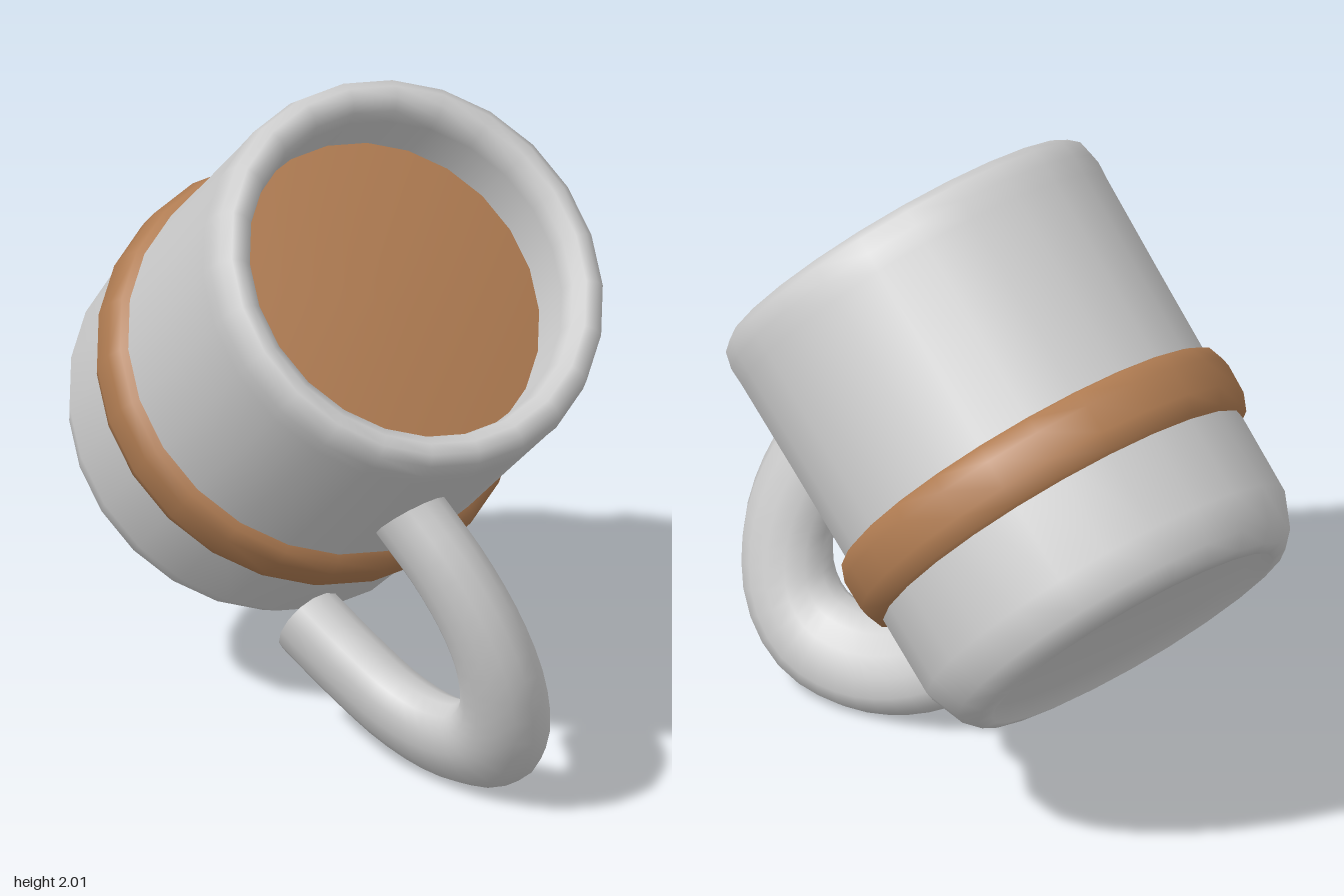
import * as THREE from 'three';
import { mergeGeometries } from 'three/addons/utils/BufferGeometryUtils.js';

const SIDES = 24;

function material(name, color) {
  const m = new THREE.MeshStandardMaterial({ color });
  m.name = name;
  return m;
}

// Turned part from [radius, height] pairs, outer surface listed upwards
function turned(name, profile, mat) {
  const points = profile.map(([r, h]) => new THREE.Vector2(r, h));
  const mesh = new THREE.Mesh(new THREE.LatheGeometry(points, SIDES), mat);
  mesh.name = name;
  return mesh;
}

// Oval tube with closed ends, bent in a flat plane and then leaned over
function handleGeometry() {
  const radius = 0.141, sides = 14;
  const curve = new THREE.CatmullRomCurve3([
    [0.578, 0.934], [0.705, 0.78], [0.792, 0.61], [0.822, 0.45], [0.786, 0.285],
    [0.684, 0.18], [0.512, 0.143], [0.33, 0.177], [0.15, 0.273], [0, 0.373],
  ].map(([x, y]) => new THREE.Vector3(x, y, 0)));
  const parts = [new THREE.TubeGeometry(curve, 28, radius, sides, false)];
  for (const end of [0, 1]) {
    const out = curve.getTangent(end).multiplyScalar(end ? 1 : -1);
    const cap = new THREE.CircleGeometry(radius, sides);
    cap.applyQuaternion(new THREE.Quaternion().setFromUnitVectors(new THREE.Vector3(0, 0, 1), out));
    const p = curve.getPoint(end);
    cap.translate(p.x, p.y, p.z);
    parts.push(cap);
  }
  const geometry = mergeGeometries(parts);
  geometry.applyMatrix4(new THREE.Matrix4().set(
    1, 0, 0, 0,
    0, 1, 0, 0,
    0, 0.275, 0.83, 0.073,
    0, 0, 0, 1));
  return geometry;
}

export function createModel() {
  const ceramic = material('pale ceramic', 0xcdcdcd);
  const brown = material('warm brown', 0xb07c52);
  const model = new THREE.Group();
  model.name = 'mug';

  // Upright cup, tilted as a whole
  const cup = new THREE.Group();
  cup.name = 'tiltedCup';
  cup.add(
    // Wall with bevelled foot, shallow recess below and rounded lip
    turned('cupBody', [
      [0, 0.03], [0.45, 0.03], [0.475, -0.018], [0.52, -0.01], [0.562, 0.035], [0.604, 0.14],
      [0.607, 0.5], [0.611, 0.9], [0.616, 1.2], [0.619, 1.26], [0.608, 1.312], [0.58, 1.338],
      [0.545, 1.338], [0.512, 1.312], [0.498, 1.26], [0.495, 0.8], [0.48, 0.15], [0, 0.13],
    ], ceramic),
    // Raised ring around the wall
    turned('band', [
      [0.59, 0.385], [0.625, 0.402], [0.646, 0.455], [0.648, 0.545], [0.63, 0.595], [0.59, 0.612],
    ], brown),
    // Drink surface with a short skirt
    turned('drink', [[0.498, 1.03], [0.498, 1.09], [0, 1.092]], brown),
  );
  const axis = new THREE.Vector3(0.72, 0.67, 0.18).normalize();
  cup.quaternion.setFromUnitVectors(new THREE.Vector3(0, 1, 0), axis);
  cup.position.set(-0.604, 0.681, -0.143);

  const handle = new THREE.Mesh(handleGeometry(), ceramic);
  handle.name = 'handle';

  model.add(cup, handle);
  return model;
}
